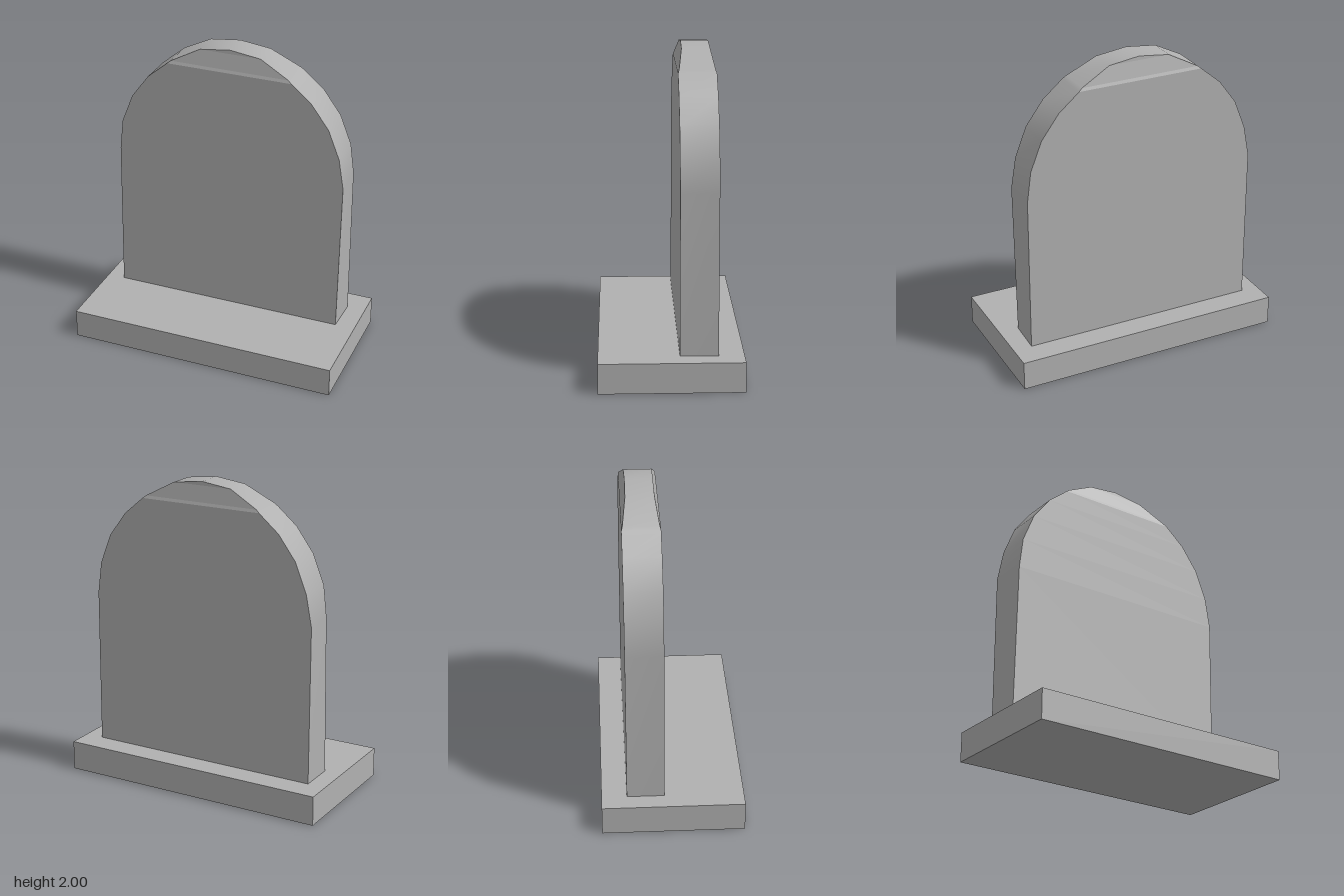
import * as THREE from 'three';

// Right half of the arched outline, bottom to apex: [x, y, inset of the faces]
const HALF = [
  [0.767, 0.19, 0], [0.768, 1.2, 0], [0.735, 1.4, 0], [0.66, 1.59, 0], [0.545, 1.745, 0],
  [0.412, 1.857, 0], [0.39, 1.875, 0.007], [0.2, 1.975, 0.029], [0, 2, 0.031],
];
const FRONT_Z = -0.052, BACK_Z = -0.287;

// Closed outline ring, counter-clockwise seen from the front.
// The hewn sides are slightly uneven, so the lowest two rows have their own x values.
function ring(z, insetSign, rightX, leftX) {
  const point = (side, xs) => ([x, y, inset], i) =>
    new THREE.Vector3(i < 2 ? xs[i] : side * x, y, z + insetSign * inset);
  const right = HALF.map(point(1, rightX));
  const left = HALF.map(point(-1, leftX)).slice(0, -1).reverse();
  return [...right, ...left];
}

function geometryFrom(points, index) {
  const geometry = new THREE.BufferGeometry().setFromPoints(points);
  geometry.setIndex(index);
  return geometry;
}

// Flat face filled row by row between the two sides of a ring
function faceGeometry(points, flip) {
  const index = [], last = points.length - 1, apex = last / 2;
  for (let i = 0; i < apex; i++) {
    const a = i, b = i + 1, c = last - i - 1, d = last - i;
    const tris = b === c ? [[a, b, d]] : [[a, b, c], [a, c, d]];
    for (const [p, q, r] of tris) index.push(...(flip ? [p, q, r] : [p, r, q]).reverse());
  }
  // reversed triples turn the plain order to face +z and the flipped one to face -z
  const geometry = geometryFrom(points, index).toNonIndexed();
  geometry.computeVertexNormals();
  return geometry;
}

// Smooth band joining the front and back rings
function rimGeometry(front, back) {
  const n = front.length, index = [];
  for (let i = 0; i < n - 1; i++) index.push(i, n + i, n + i + 1, i, n + i + 1, i + 1);
  const geometry = geometryFrom([...front, ...back], index);
  geometry.computeVertexNormals();
  return geometry;
}

export function createModel() {
  const stone = new THREE.MeshStandardMaterial({ color: 0xb0b0b0 });
  stone.name = 'grey stone';

  const model = new THREE.Group();
  model.name = 'headstone';
  const add = (name, geometry, parent) => {
    const mesh = new THREE.Mesh(geometry, stone);
    mesh.name = name;
    parent.add(mesh);
    return mesh;
  };

  // Plinth
  add('base', new THREE.BoxGeometry(1.77, 0.19, 0.89), model).position.y = 0.095;

  // Arched slab, set towards the back of the plinth
  const slab = new THREE.Group();
  slab.name = 'slab';
  model.add(slab);
  const front = ring(FRONT_Z, -1, [0.757, 0.768], [-0.77, -0.757]);
  const back = ring(BACK_Z, 1, [0.765, 0.762], [-0.77, -0.773]);
  add('slabFront', faceGeometry(front, false), slab);
  add('slabBack', faceGeometry(back, true), slab);
  add('slabRim', rimGeometry(front, back), slab);

  return model;
}
